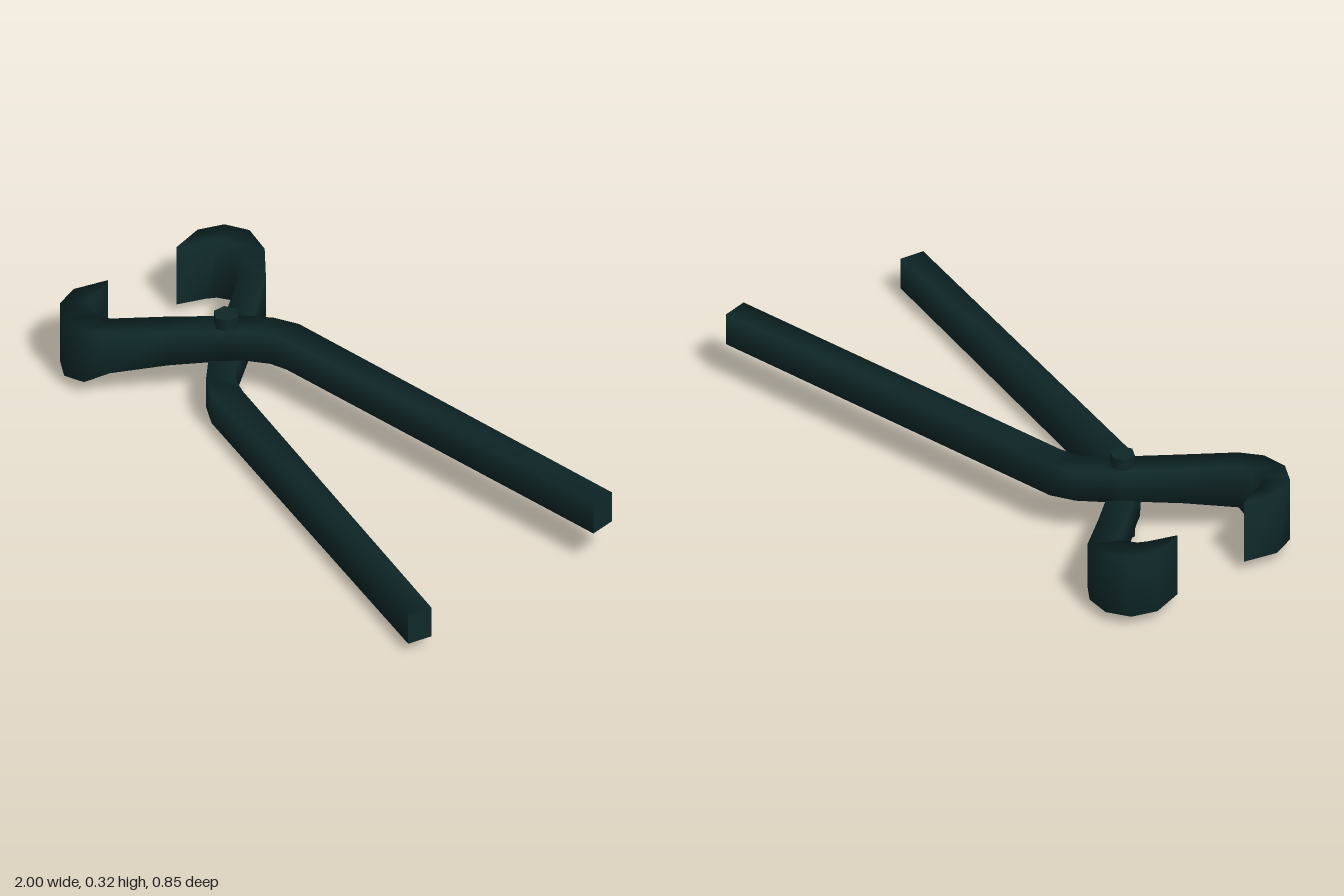
import * as THREE from 'three';

const PIVOT_X = -0.535, PIVOT_Z = -0.038, MID_Y = 0.158, TOP_Y = 0.273;

// Stations from handle to jaw tip: back/outer edge x, z, front/inner edge x, z, underside y
const armStations = [
  [-0.385, -0.222, -0.337, -0.131, MID_Y],
  [-0.465, -0.18, -0.396, -0.11, MID_Y],
  [-0.541, -0.108, -0.469, -0.052, MID_Y],
  [-0.571, -0.066, -0.499, -0.01, MID_Y],
  [-0.69, 0.086, -0.617, 0.141, 0.143],
  [-0.798, 0.235, -0.733, 0.291, 0.115],
  [-0.835, 0.255, -0.802, 0.342, 0.064],
  [-0.877, 0.257, -0.892, 0.352, 0.044],
  [-0.914, 0.232, -0.968, 0.308, 0.043],
  [-0.932, 0.2, -1.0, 0.222, 0.043],
  [-0.968, 0.106, -0.968, 0.106, 0.043],
];

// Sweeps a four-cornered section through the stations, smooth along its length
function armGeometry(handleEnd) {
  const stations = [handleEnd, ...armStations];
  const pos = [], index = [];
  for (const [ax, az, bx, bz, low] of stations) {
    pos.push(ax, TOP_Y, az, bx, TOP_Y, bz, bx, low, bz, ax, low, az);
  }
  for (let i = 0; i < stations.length - 1; i++) {
    for (let k = 0; k < 4; k++) {
      const n = (k + 1) % 4, a = i * 4, b = a + 4;
      index.push(a + k, b + n, a + n, a + k, b + k, b + n);
    }
  }
  // Flat cap on the handle end, with its own corners
  const cap = pos.length / 3;
  pos.push(...pos.slice(0, 12));
  index.push(cap, cap + 1, cap + 2, cap, cap + 2, cap + 3);

  const g = new THREE.BufferGeometry();
  g.setAttribute('position', new THREE.Float32BufferAttribute(pos, 3));
  g.setIndex(index);
  g.computeVertexNormals();
  return g;
}

export function createModel() {
  const iron = new THREE.MeshStandardMaterial({ color: 0x0f2829 });
  iron.name = 'darkIron';
  const model = new THREE.Group();
  model.name = 'tongs';

  const upper = new THREE.Mesh(armGeometry([0.984, -0.42, 0.999, -0.329, MID_Y]), iron);
  upper.name = 'upperArm';

  // The lower arm is the same shape turned over about the pivot, with a slightly wider handle
  const lowerShape = armGeometry([0.968, -0.501, 0.984, -0.416, MID_Y]);
  lowerShape.rotateX(Math.PI);
  lowerShape.translate(0, 2 * MID_Y, 2 * PIVOT_Z);
  const lower = new THREE.Mesh(lowerShape, iron);
  lower.name = 'lowerArm';

  // Six-sided rivet through both arms
  const pin = new THREE.Mesh(new THREE.CylinderGeometry(0.042, 0.042, 2 * MID_Y, 6), iron);
  pin.name = 'pivotPin';
  pin.position.set(PIVOT_X, MID_Y, PIVOT_Z);

  model.add(upper, lower, pin);
  return model;
}
